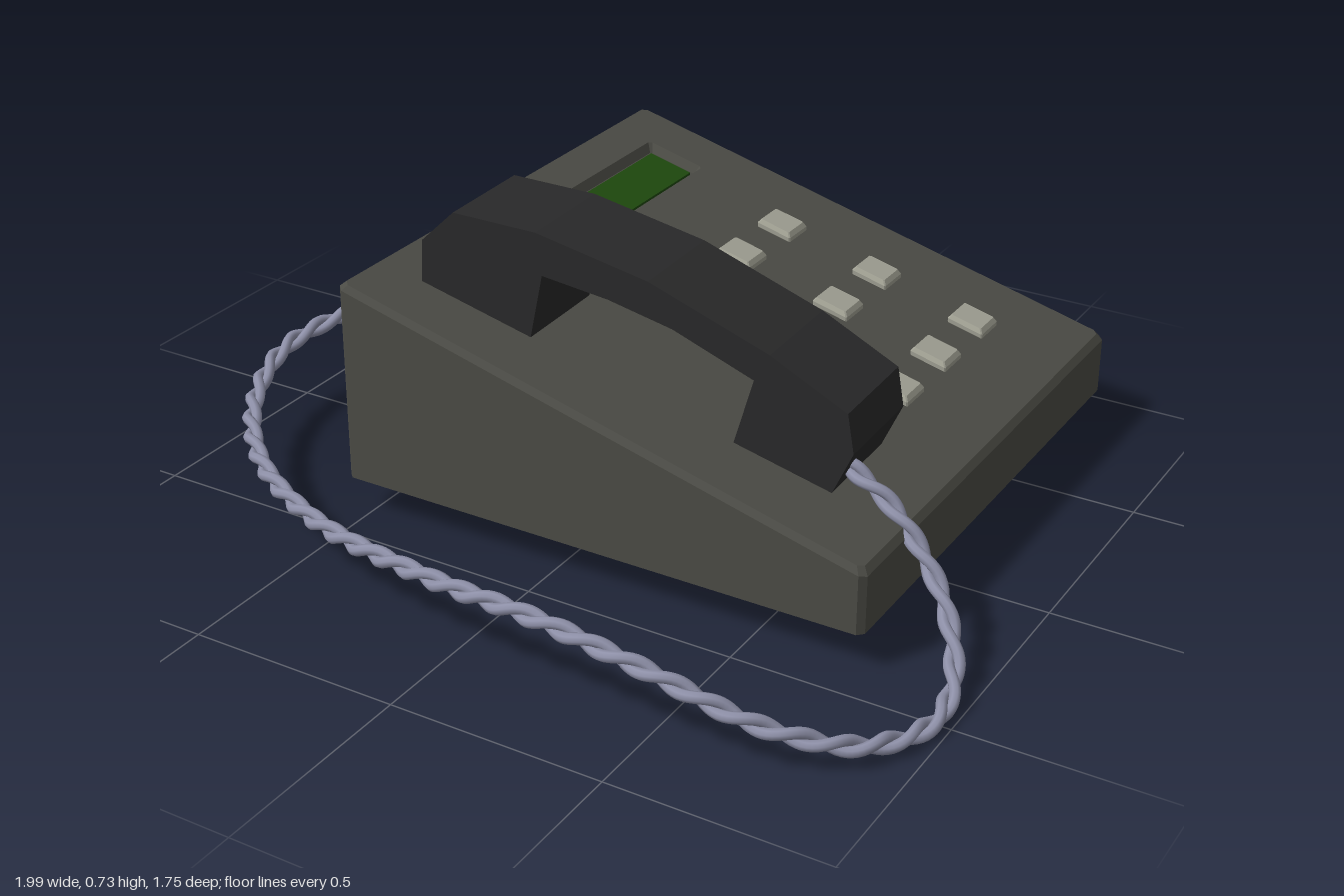
import * as THREE from 'three';

const SLOPE = 0.257;
const deckY = (x) => 0.585 - SLOPE * (x + 0.545);

const material = (name, color) => {
  const m = new THREE.MeshStandardMaterial({ color });
  m.name = name;
  return m;
};

// Chamfered rectangle at a given lift above the sloping deck, or at a flat height
function ring(x0, x1, z0, z1, c, lift, flat = false) {
  return [
    [x1, z1 - c], [x1, z0 + c], [x1 - c, z0], [x0 + c, z0],
    [x0, z0 + c], [x0, z1 - c], [x0 + c, z1], [x1 - c, z1],
  ].map(([x, z]) => [x, flat ? lift : deckY(x) + lift, z]);
}

// Closed, faceted solid joining rings from the bottom up
function loft(rings) {
  const pos = [];
  const tri = (a, b, c) => pos.push(...a, ...b, ...c);
  for (let r = 0; r < rings.length - 1; r++) {
    const lo = rings[r], hi = rings[r + 1];
    for (let i = 0; i < 8; i++) {
      const j = (i + 1) % 8;
      tri(lo[i], lo[j], hi[j]);
      tri(lo[i], hi[j], hi[i]);
    }
  }
  const first = rings[0], last = rings[rings.length - 1];
  for (let i = 1; i < 7; i++) {
    tri(first[0], first[i + 1], first[i]);
    tri(last[0], last[i], last[i + 1]);
  }
  const g = new THREE.BufferGeometry();
  g.setAttribute('position', new THREE.Float32BufferAttribute(pos, 3));
  g.computeVertexNormals();
  return g;
}

// One strand winding round a centre path
class StrandCurve extends THREE.Curve {
  constructor(path, turns, radius, phase) {
    super();
    Object.assign(this, { path, turns, radius, phase });
  }
  getPoint(t, target = new THREE.Vector3()) {
    const tangent = this.path.getTangentAt(t);
    const side = new THREE.Vector3().crossVectors(tangent, new THREE.Vector3(0, 1, 0)).normalize();
    const up = new THREE.Vector3().crossVectors(side, tangent);
    const a = t * this.turns * Math.PI * 2 + this.phase;
    return target.copy(this.path.getPointAt(t))
      .addScaledVector(side, Math.cos(a) * this.radius)
      .addScaledVector(up, Math.sin(a) * this.radius);
  }
}

export function createModel() {
  const model = new THREE.Group();
  model.name = 'deskTelephone';
  const bodyMat = material('olive grey plastic', 0x4b4b45);
  const handsetMat = material('black plastic', 0x29292a);
  const buttonMat = material('pale grey keys', 0x9f9f92);
  const screenMat = material('green display', 0x1f4a0e);
  const cordMat = material('lavender grey cord', 0x8e90a8);

  const add = (name, geometry, mat, parent = model) => {
    const mesh = new THREE.Mesh(geometry, mat);
    mesh.name = name;
    parent.add(mesh);
    return mesh;
  };

  // Wedge body with a bevelled deck and a sunken display recess
  add('body', loft([
    ring(-0.545, 0.76, -0.88, 0.42, 0.014, 0.1, true),
    ring(-0.545, 0.76, -0.88, 0.42, 0.014, -0.014),
    ring(-0.533, 0.748, -0.868, 0.408, 0.012, 0),
    ring(-0.432, -0.278, -0.73, -0.13, 0.008, 0),
    ring(-0.42, -0.29, -0.715, -0.142, 0.004, -0.02),
  ]), bodyMat);

  // Display plate
  add('screen', loft([
    ring(-0.412, -0.298, -0.703, -0.154, 0.001, -0.021),
    ring(-0.412, -0.298, -0.703, -0.154, 0.001, -0.014),
  ]), screenMat);

  // Three by three keypad
  const keypad = new THREE.Group();
  keypad.name = 'keypad';
  model.add(keypad);
  for (const x of [0, 0.26, 0.515]) {
    for (const z of [-0.64, -0.435, -0.235]) {
      const key = (h, lift) => ring(x - h, x + h, z - h, z + h, 0.003, lift);
      add('key', loft([key(0.045, -0.005), key(0.045, 0.01), key(0.038, 0.02)]), buttonMat, keypad);
    }
  }

  // Handset: arched side profile, extruded across
  const profile = [
    [-0.43, 0.555], [-0.147, 0.483], [-0.115, 0.637], [0.05, 0.618], [0.206, 0.585],
    [0.4, 0.513], [0.355, 0.355], [0.587, 0.297], [0.633, 0.4], [0.617, 0.49],
    [0.436, 0.58], [0.147, 0.682], [-0.13, 0.735], [-0.34, 0.738], [-0.425, 0.655],
  ];
  const handsetGeo = new THREE.ExtrudeGeometry(
    new THREE.Shape(profile.map(([x, y]) => new THREE.Vector2(x - 0.1, y))),
    { depth: 0.25, bevelEnabled: false });
  handsetGeo.translate(0, 0, -0.125);
  const handset = add('handset', handsetGeo, handsetMat);
  handset.position.set(0.1, 0, 0.125);
  handset.rotation.y = 0.027;

  // Twisted two-strand cord from the body's side round to the handset
  const path = new THREE.CatmullRomCurve3([
    [-0.5, 0.24, -0.425], [-0.6, 0.24, -0.39], [-0.74, 0.238, -0.325], [-0.89, 0.22, -0.16],
    [-0.972, 0.19, 0.08], [-0.92, 0.153, 0.28], [-0.74, 0.132, 0.495], [-0.45, 0.132, 0.66],
    [-0.05, 0.175, 0.785], [0.25, 0.2, 0.835], [0.5, 0.175, 0.845], [0.75, 0.1, 0.8],
    [0.9, 0.052, 0.695], [0.972, 0.03, 0.52], [0.95, 0.06, 0.385], [0.86, 0.155, 0.265],
    [0.72, 0.28, 0.205], [0.63, 0.335, 0.195], [0.57, 0.36, 0.18],
  ].map((p) => new THREE.Vector3(...p)));
  path.arcLengthDivisions = 600;
  const cord = new THREE.Group();
  cord.name = 'cord';
  model.add(cord);
  for (const phase of [0, Math.PI]) {
    const strand = new StrandCurve(path, 22, 0.011, phase);
    add('cordStrand', new THREE.TubeGeometry(strand, 420, 0.0125, 8), cordMat, cord);
  }
  return model;
}
